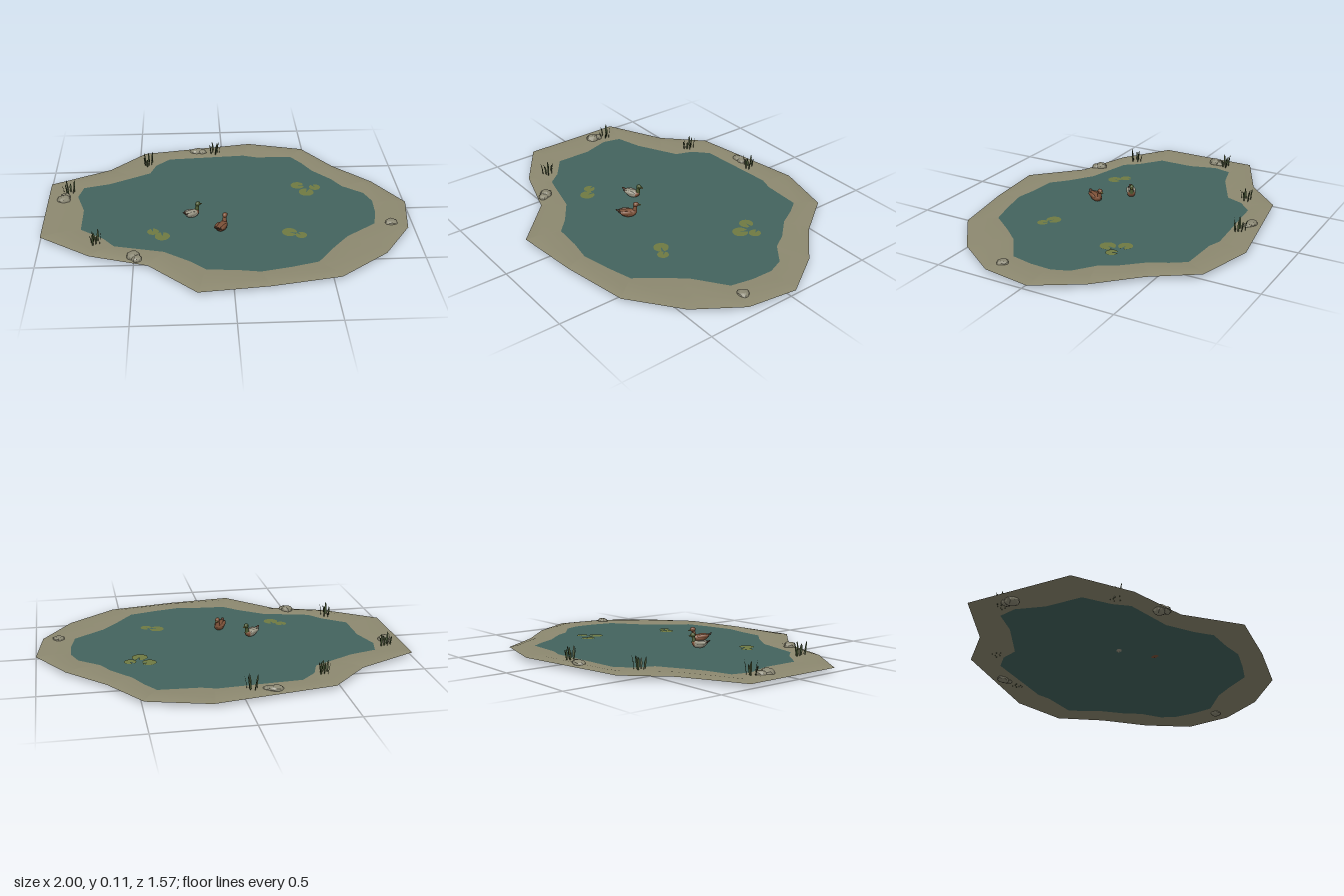
import * as THREE from 'three';

const mat = (name, color, extra = {}) => new THREE.MeshStandardMaterial({ name, color, ...extra });
const both = { side: THREE.DoubleSide };
const M = {
  bank: mat('sandy bank', 0x8d8970, both),
  water: mat('pond water', 0x43645e, both),
  rock: mat('stone', 0x8a8773, { flatShading: true }),
  lily: mat('lily pad green', 0x6f7a42, both),
  reed: mat('reed green', 0x3f4c2d, both),
  grey: mat('grey feathers', 0x9a9685),
  brown: mat('brown feathers', 0x7d5138),
  green: mat('green head feathers', 0x48562e),
  beak: mat('beak olive', 0x7c7238),
  dark: mat('dark feathers', 0x4d382a),
};

// Outlines as x, z pairs, clockwise from above
const SHORE = [[-1, -.32], [-.67, -.48], [-.47, -.68], [.17, -.785], [.49, -.7], [.65, -.47], [.85, -.27], [1, -.03],
  [.96, .24], [.8, .48], [.54, .68], [.18, .745], [-.18, .78], [-.425, .54], [-.73, .44], [-1, .25]];
const WATERLINE = [[-.81, -.26], [-.665, -.3], [-.53, -.37], [-.435, -.42], [-.4, -.515], [-.32, -.59], [-.02, -.61],
  [.125, -.62], [.2, -.595], [.415, -.585], [.47, -.505], [.52, -.41], [.62, -.3], [.67, -.215], [.78, -.13], [.815, -.04],
  [.81, .08], [.785, .2], [.62, .32], [.54, .415], [.44, .55], [.3, .59], [.14, .625], [.02, .605], [-.13, .595],
  [-.21, .52], [-.345, .425], [-.605, .36], [-.665, .285], [-.79, .19], [-.79, -.01], [-.835, -.16]];
const WATER_Y = 0.025;

function add(parent, name, geometry, material, x = 0, y = 0, z = 0) {
  const mesh = new THREE.Mesh(geometry, material);
  mesh.name = name;
  mesh.position.set(x, y, z);
  parent.add(mesh);
  return mesh;
}

// Joins rows of equal length into a surface
function surface(rows, closed = true) {
  const n = rows[0].length, index = [];
  for (let r = 0; r < rows.length - 1; r++) {
    for (let i = 0; i < (closed ? n : n - 1); i++) {
      const a = r * n + i, b = r * n + (i + 1) % n;
      index.push(a, b, a + n, b, b + n, a + n);
    }
  }
  const g = new THREE.BufferGeometry();
  g.setAttribute('position', new THREE.Float32BufferAttribute(rows.flat(2), 3));
  g.setIndex(index);
  g.computeVertexNormals();
  return g;
}

// Distance from the centre to an outline in a given direction
function reach(outline, angle) {
  const dx = Math.cos(angle), dz = Math.sin(angle);
  let best = 0;
  outline.forEach(([ax, az], i) => {
    const [bx, bz] = outline[(i + 1) % outline.length];
    const ex = bx - ax, ez = bz - az, det = dx * ez - dz * ex;
    if (Math.abs(det) < 1e-9) return;
    const t = (ax * ez - az * ex) / det, u = (ax * dz - az * dx) / det;
    if (u > -1e-6 && u < 1 + 1e-6) best = Math.max(best, t);
  });
  return best;
}

// Bank with a low crest, and the flat water inside it
function addPond(parent) {
  const angles = [...SHORE, ...WATERLINE].map(([x, z]) => Math.atan2(z, x)).sort((a, b) => a - b);
  const ring = (blend, y) => angles.map((a) => {
    const r = THREE.MathUtils.lerp(reach(WATERLINE, a), reach(SHORE, a), blend);
    return [r * Math.cos(a), y, r * Math.sin(a)];
  });
  const rings = [ring(0, WATER_Y), ring(0.65, 0.03), ring(1, 0.02)];
  rings.reverse();
  const flip = (rows) => rows.map((row) => row.slice().reverse());
  add(parent, 'bank', surface(flip(rings).reverse().map((r) => r.slice().reverse()).reverse().map((r) => r.slice().reverse()).reverse().map((r) => r.slice().reverse())), M.bank);
  const edge = ring(0, WATER_Y);
  add(parent, 'water', surface([edge.map(() => [0, WATER_Y, 0]), edge].map((r) => r.slice().reverse()).reverse().map((r) => r.slice().reverse())), M.water);
  // Every upward surface gets upward normals
  for (const mesh of parent.children) {
    const g = mesh.geometry, normal = g.attributes.normal;
    let sum = 0;
    for (let i = 0; i < normal.count; i++) sum += normal.getY(i);
    if (sum < 0) {
      g.setIndex(Array.from(g.index.array).reverse());
      g.computeVertexNormals();
    }
  }
}

// Lumpy stone
function addRock(parent, x, z, rx, ry, rz, seed) {
  const g = new THREE.IcosahedronGeometry(1, 1), p = g.attributes.position;
  for (let i = 0; i < p.count; i++) {
    const a = p.getX(i), b = p.getY(i), c = p.getZ(i);
    const k = 1 + 0.1 * Math.sin(4 * a + seed) * Math.cos(3 * c + 2 * b + seed);
    p.setXYZ(i, a * k * rx, b * k * ry, c * k * rz);
  }
  g.computeVertexNormals();
  add(parent, 'rock', g, M.rock, x, 0.028, z);
}

// Round leaf with a notch
function addLilyPad(parent, x, z, r, turn) {
  const g = new THREE.CircleGeometry(r, 20, 0.2, Math.PI * 2 - 0.4).rotateX(-Math.PI / 2);
  add(parent, 'lilyPad', g, M.lily, x, WATER_Y + 0.003, z).rotation.y = turn;
}

// Clump of pointed blades that lean outward
function addReeds(parent, x, z, seed) {
  const clump = new THREE.Group();
  clump.name = 'reeds';
  clump.position.set(x, 0.022, z);
  for (let i = 0; i < 7; i++) {
    const a = seed + i * 2.4, d = 0.012 + 0.003 * i, h = 0.045 + 0.033 * Math.abs(Math.sin(i * 1.7 + seed));
    const w = 0.0055, lean = 0.012;
    const rows = [[0, 0.5, 0], [0.55, 1, 0.35], [0.85, 0.7, 0.75], [1, 0.02, 1]].map(([t, k, l]) =>
      [[-w * k, t * h, l * lean], [0, t * h, l * lean + 0.002 * k], [w * k, t * h, l * lean]]);
    const blade = add(clump, 'reedBlade', surface(rows, false), M.reed, d * Math.sin(a), 0, d * Math.cos(a));
    blade.rotation.y = a + 0.5;
  }
  parent.add(clump);
}

// Tube of elliptical sections along x: [x, centre height, half height, half width]
function loft(sections, sides = 14) {
  return surface(sections.map(([x, y, ry, rz]) => Array.from({ length: sides }, (_, i) => {
    const a = -i / sides * Math.PI * 2;
    return [x, y + ry * Math.sin(a), rz * Math.cos(a)];
  })));
}

// Floating duck facing +x before it is turned
function addDuck(parent, name, x, z, turn, size, c) {
  const duck = new THREE.Group();
  duck.name = name;
  duck.position.set(x, 0, z);
  duck.rotation.y = turn;
  duck.scale.set(size, 1, size);
  add(duck, 'body', loft([[-.052, .058, .001, .002], [-.045, .054, .009, .014], [-.03, .047, .017, .021], [-.01, .043, .021, .025],
    [.012, .042, .021, .025], [.024, .043, .019, .022]]), c.body);
  add(duck, 'breast', loft([[.024, .043, .019, .022], [.034, .046, .016, .017], [.042, .049, .01, .011], [.046, .05, .001, .001]]), c.breast);
  add(duck, 'tail', loft([[-.066, .069, .001, .002], [-.062, .067, .002, .008], [-.045, .056, .007, .012], [-.04, .054, .001, .001]]), c.tail);
  for (const s of [-1, 1]) {
    const wing = add(duck, 'wing', new THREE.SphereGeometry(1, 14, 10), c.wing, -.012, .052, s * .019);
    wing.scale.set(.034, .012, .009);
    wing.rotation.z = -0.12;
    const tip = add(duck, 'wingTip', new THREE.ConeGeometry(.006, .024, 8).rotateZ(Math.PI / 2), c.tail, -.047, .058, s * .014);
    tip.rotation.z = -0.12;
    add(duck, 'eye', new THREE.SphereGeometry(.002, 8, 6), M.dark, .045, .094, s * .0115);
  }
  const neck = add(duck, 'neck', new THREE.CylinderGeometry(.008, .013, .036, 12), c.head, .035, .07, 0);
  neck.rotation.z = -0.1;
  add(duck, 'head', new THREE.SphereGeometry(1, 14, 10), c.head, .04, .091, 0).scale.set(.0155, .0135, .0125);
  add(duck, 'beak', loft([[.05, .089, .005, .006], [.058, .086, .003, .006], [.064, .0855, .002, .0055], [.066, .0855, .0002, .002]]), M.beak);
  parent.add(duck);
}

export function createModel() {
  const model = new THREE.Group();
  model.name = 'duckPond';
  addPond(model);

  [[-.155, -.68, .043, .02, .029], [-.122, -.672, .026, .016, .024], [-.91, -.125, .037, .028, .036],
    [-.905, -.16, .03, .02, .026], [-.5, .462, .034, .028, .034], [-.482, .488, .028, .02, .026],
    [.875, .198, .033, .02, .03]].forEach((r, i) => addRock(model, ...r, i * 1.3));

  [[.415, -.23, .038, 0], [.512, -.205, .032, 2], [.457, -.15, .042, 1.2], [.318, .27, .04, -.4],
    [.377, .302, .03, 2.2], [-.405, .233, .031, 1.8], [-.355, .28, .04, 1.6]].forEach((p) => addLilyPad(model, ...p));

  [[-.45, -.525, .4], [-.045, -.655, 1.6], [-.885, -.2, 2.7], [-.7, .325, 4]].forEach((r) => addReeds(model, ...r));

  addDuck(model, 'drake', -.195, .08, .58, .95, { body: M.grey, breast: M.brown, wing: M.grey, tail: M.dark, head: M.green });
  addDuck(model, 'hen', -.04, .22, 1.1, 1.05, { body: M.brown, breast: M.brown, wing: M.brown, tail: M.dark, head: M.brown });
  return model;
}
